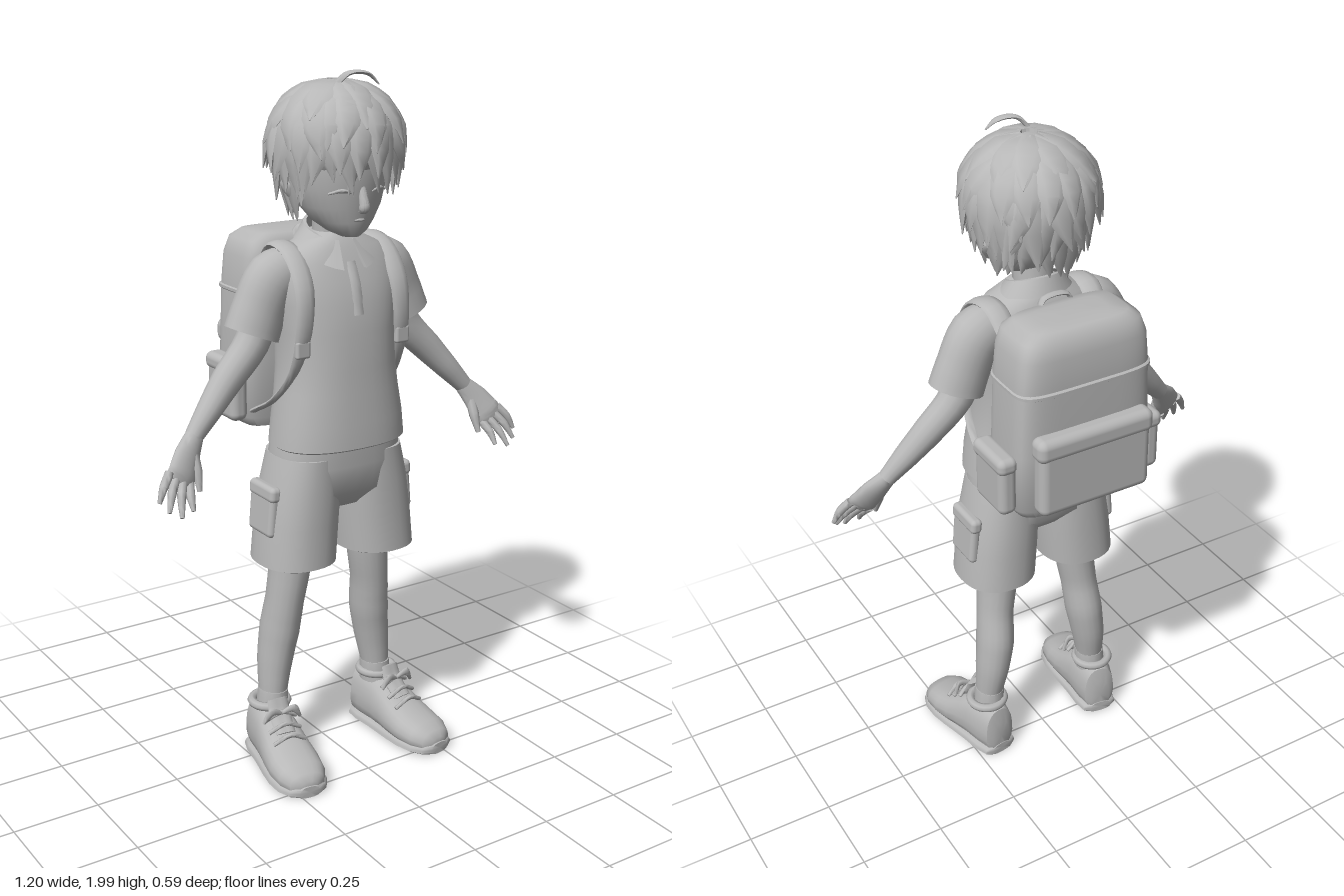
import * as THREE from 'three';
import { toCreasedNormals } from 'three/addons/utils/BufferGeometryUtils.js';
import { RoundedBoxGeometry } from 'three/addons/geometries/RoundedBoxGeometry.js';

const V = (x, y, z) => new THREE.Vector3(x, y, z);
const clay = new THREE.MeshStandardMaterial({ color: 0xb8b8b8, side: THREE.DoubleSide });
clay.name = 'clay grey';

// Skin a list of equal-length point rings, closing both ends
function skin(rings, crease = 0.8) {
  const n = rings[0].length, pts = rings.flat(), idx = [];
  for (let r = 0; r < rings.length - 1; r++)
    for (let i = 0; i < n; i++) {
      const a = r * n + i, b = r * n + (i + 1) % n;
      idx.push(a, b, a + n, b, b + n, a + n);
    }
  [0, rings.length - 1].forEach((r, end) => {
    const c = pts.length, mid = V(0, 0, 0);
    rings[r].forEach(p => mid.addScaledVector(p, 1 / n));
    pts.push(mid);
    for (let i = 0; i < n; i++) {
      const a = r * n + i, b = r * n + (i + 1) % n;
      if (end) idx.push(a, b, c); else idx.push(b, a, c);
    }
  });
  // Turn the faces outward if the enclosed volume is negative
  let vol = 0;
  for (let i = 0; i < idx.length; i += 3)
    vol += pts[idx[i]].dot(V(0, 0, 0).crossVectors(pts[idx[i + 1]], pts[idx[i + 2]]));
  if (vol < 0) idx.reverse();
  const g = new THREE.BufferGeometry().setFromPoints(pts);
  g.setIndex(idx);
  return toCreasedNormals(g, crease);
}

const sup = (v, p) => Math.sign(v) * Math.pow(Math.abs(v), 2 / p);

// Stack of horizontal rounded sections: [y, cx, cz, rx, rz]
function stack(rows, p = 2, n = 32) {
  return skin(rows.map(([y, cx, cz, rx, rz]) => Array.from({ length: n }, (_, i) => {
    const a = i / n * Math.PI * 2;
    return V(cx + rx * sup(Math.cos(a), p), y, cz + rz * sup(Math.sin(a), p));
  })));
}

// Smooth limb along points [x, y, z, width, thickness]; ref is the width direction
function limb(list, ref = V(1, 0, 0), n = 14, steps = 4) {
  const curve = new THREE.CatmullRomCurve3(list.map(q => V(q[0], q[1], q[2])));
  const m = (list.length - 1) * steps, rings = [];
  for (let k = 0; k <= m; k++) {
    const u = k / m, c = curve.getPoint(u), t = curve.getTangent(u);
    const j = Math.min(Math.floor(k / steps), list.length - 2), f = k / steps - j;
    const w = THREE.MathUtils.lerp(list[j][3], list[j + 1][3], f);
    const h = THREE.MathUtils.lerp(list[j][4] ?? list[j][3], list[j + 1][4] ?? list[j + 1][3], f);
    const s = ref.clone().addScaledVector(t, -ref.dot(t)).normalize();
    const b = V(0, 0, 0).crossVectors(t, s);
    rings.push(Array.from({ length: n }, (_, i) => {
      const a = i / n * Math.PI * 2;
      return c.clone().addScaledVector(s, w * Math.cos(a)).addScaledVector(b, h * Math.sin(a));
    }));
  }
  return skin(rings);
}

let seed = 7;
const rnd = () => (seed = (seed * 16807) % 2147483647) / 2147483647;

export function createModel() {
  const root = new THREE.Group();
  const add = (name, g, parent = root) => {
    const m = new THREE.Mesh(g, clay);
    m.name = name;
    parent.add(m);
    return m;
  };
  const box = (name, w, h, d, x, y, z, r, parent) => {
    const m = add(name, new RoundedBoxGeometry(w, h, d, 4, r), parent);
    m.position.set(x, y, z);
    return m;
  };

  // Head, neck and face
  add('neck', limb([[0, 1.48, 0.04, 0.055], [0, 1.66, 0.06, 0.055]]));
  add('head', stack([[1.56, 0, 0.135, 0.025, 0.032], [1.575, 0, 0.12, 0.055, 0.058], [1.6, 0, 0.1, 0.085, 0.083],
    [1.64, 0, 0.085, 0.113, 0.108], [1.69, 0, 0.078, 0.13, 0.122], [1.76, 0, 0.075, 0.142, 0.135],
    [1.84, 0, 0.07, 0.138, 0.13], [1.92, 0, 0.07, 0.08, 0.08]]));
  add('nose', limb([[0, 1.7, 0.19, 0.01], [0, 1.66, 0.203, 0.013], [0, 1.642, 0.205, 0.015], [0, 1.632, 0.19, 0.008]]));
  add('mouth', limb([[-0.028, 1.606, 0.172, 0.003], [0, 1.608, 0.186, 0.005], [0.028, 1.606, 0.172, 0.003]], V(0, 1, 0), 8));
  for (const s of [1, -1]) {
    add('ear', limb([[s * 0.125, 1.73, 0.06, 0.02, 0.01], [s * 0.145, 1.7, 0.055, 0.03, 0.014],
      [s * 0.125, 1.65, 0.065, 0.012, 0.008]], V(0, 0, 1)));
    add('eyelid', limb([[s * 0.03, 1.683, 0.194, 0.003], [s * 0.058, 1.69, 0.188, 0.006],
      [s * 0.09, 1.682, 0.168, 0.003]], V(0, 1, 0), 8));
  }

  // Hair: a cap covered in rows of tapering, flicked-out locks
  const hair = new THREE.Group();
  hair.name = 'hair';
  root.add(hair);
  const cap = add('hairCap', new THREE.SphereGeometry(1, 32, 20), hair);
  cap.scale.set(0.163, 0.145, 0.165);
  cap.position.set(0, 1.815, 0.065);
  const onHead = (az, phi, k) => {
    const over = Math.max(0, phi - Math.PI / 2);
    const h = over ? 1 - 0.2 * over : Math.sin(phi), v = over ? -over : Math.cos(phi);
    return [0.168 * k * h * Math.sin(az), 1.815 + 0.148 * k * v, 0.065 + 0.175 * k * h * Math.cos(az)];
  };
  const lock = (az, p0, p1, width, lift) => {
    const twist = (rnd() - 0.5) * 0.45;
    const list = [0, 0.33, 0.67, 1].map((s, i) => [
      ...onHead(az + twist * s * s, p0 + (p1 - p0) * s, 0.97 + lift * s * s),
      width * [0.6, 1, 0.75, 0.04][i], 0.016 * [0.7, 1, 0.8, 0.1][i]]);
    add('hairLock', limb(list, V(Math.cos(az), 0, -Math.sin(az)), 6, 2), hair);
  };
  // Rows: count, start and end angle from the crown, width, lift
  for (const [n, p0, p1, w, lift] of [[11, 0.12, 1.15, 0.05, 0.1], [16, 0.5, 1.6, 0.045, 0.16], [20, 0.95, 1.95, 0.04, 0.22]])
    for (let i = 0; i < n; i++)
      lock((i + rnd() * 0.6) / n * Math.PI * 2, p0, p1 + rnd() * 0.2, w, lift + rnd() * 0.08);
  for (let i = 0; i < 17; i++)
    lock(Math.PI + (i / 16 - 0.5) * 4, 1.35, 2.35 + rnd() * 0.2, 0.036, 0.16 + rnd() * 0.08);
  for (let i = 0; i < 13; i++)
    lock(Math.PI + (i / 12 - 0.5) * 3.2, 1.7, 2.8 + rnd() * 0.2, 0.033, 0.02 + rnd() * 0.06);
  for (let i = 0; i < 9; i++)
    lock((i / 8 - 0.5) * 2.1, 0.8, 2.12 + rnd() * 0.3, 0.036, 0.14 + rnd() * 0.1);
  add('cowlick', limb([[-0.03, 1.95, 0.1, 0.012, 0.006], [0, 1.985, 0.13, 0.013, 0.006],
    [0.05, 1.982, 0.145, 0.011, 0.005], [0.075, 1.955, 0.16, 0.002]], V(0, 0, 1), 8), hair);

  // Shirt body, placket and collar
  add('shirt', stack([[1.01, 0, 0.07, 0.17, 0.11], [0.975, 0, 0.075, 0.193, 0.13], [0.98, 0, 0.075, 0.2, 0.137],
    [1.05, 0, 0.075, 0.193, 0.134], [1.13, 0, 0.072, 0.18, 0.13], [1.2, 0, 0.068, 0.172, 0.13],
    [1.3, 0, 0.064, 0.173, 0.128], [1.38, 0, 0.058, 0.183, 0.123], [1.44, 0, 0.052, 0.187, 0.112],
    [1.49, 0, 0.047, 0.175, 0.097], [1.525, 0, 0.045, 0.14, 0.084], [1.55, 0, 0.045, 0.085, 0.07],
    [1.565, 0, 0.045, 0.06, 0.058]], 2.4, 40));
  add('placket', limb([[0, 1.49, 0.142, 0.016, 0.004], [0, 1.43, 0.168, 0.016, 0.004], [0, 1.35, 0.185, 0.016, 0.004]], V(1, 0, 0), 8));
  add('collar', skin(Array.from({ length: 29 }, (_, i) => {
    const a = (i / 28 - 0.5) * 5.7, f = (1 - Math.cos(a)) / 2;
    const at = (r, y) => V(r * Math.sin(a), y, 0.045 - r * Math.cos(a));
    const top = 1.6 - 0.055 * f, low = 1.55 - 0.08 * f * f;
    return [at(0.067, top), at(0.085 + 0.032 * f, low), at(0.094 + 0.034 * f, low), at(0.076, top)];
  })));

  // Shorts seat
  add('shortsSeat', stack([[0.79, 0, 0.055, 0.12, 0.08], [0.84, 0, 0.055, 0.195, 0.122],
    [0.92, 0, 0.06, 0.2, 0.125], [1.0, 0, 0.065, 0.185, 0.122]], 2.6));

  // Parts mirrored left and right
  for (const s of [1, -1]) {
    const side = new THREE.Group();
    side.name = s > 0 ? 'leftSide' : 'rightSide';
    root.add(side);
    const put = (name, list, ref, n) =>
      add(name, limb(list.map(([x, ...q]) => [s * x, ...q]), ref, n), side);
    const flat = V(s * 0.8, 0.6, 0);

    // Sleeve, arm and hand
    put('sleeve', [[0.11, 1.475, 0.04, 0.06, 0.06], [0.18, 1.445, 0.037, 0.08, 0.068],
      [0.222, 1.37, 0.035, 0.08, 0.064], [0.25, 1.3, 0.035, 0.082, 0.066]], flat, 20);
    put('arm', [[0.21, 1.37, 0.035, 0.05], [0.25, 1.275, 0.035, 0.05, 0.047], [0.335, 1.185, 0.045, 0.044, 0.042],
      [0.4, 1.115, 0.06, 0.035], [0.455, 1.055, 0.073, 0.026, 0.024]], flat);
    put('palm', [[0.45, 1.06, 0.072, 0.026, 0.023], [0.485, 1.015, 0.093, 0.04, 0.02],
      [0.515, 0.97, 0.115, 0.046, 0.017], [0.527, 0.955, 0.122, 0.038, 0.01]], flat);
    [[0.595, 0.915, 0.14], [0.578, 0.892, 0.162], [0.548, 0.876, 0.175], [0.508, 0.884, 0.165]].forEach(([x, y, z], i) => {
      const b = [0.55 - i * 0.019, 0.985 - i * 0.013, 0.115];
      put('finger', [[...b, 0.013], [(b[0] + x) / 2 + 0.004, (b[1] + y) / 2 + 0.003, (b[2] + z) / 2 + 0.003, 0.012], [x, y, z, 0.006]], flat, 8);
    });
    put('thumb', [[0.468, 1.02, 0.09, 0.016], [0.467, 0.97, 0.112, 0.015], [0.47, 0.92, 0.13, 0.007]], V(1, 0, 0), 8);

    // Shorts leg with a hollow hem and a cargo pocket
    add('shortsLeg', stack([[0.95, s * 0.1, 0.06, 0.095, 0.118], [0.85, s * 0.113, 0.057, 0.108, 0.122],
      [0.75, s * 0.124, 0.055, 0.113, 0.124], [0.635, s * 0.134, 0.055, 0.114, 0.126],
      [0.63, s * 0.134, 0.055, 0.104, 0.116], [0.69, s * 0.13, 0.055, 0.095, 0.105]], 2.3), side);
    box('cargoPocket', 0.03, 0.13, 0.12, s * 0.226, 0.79, 0.05, 0.014, side).rotation.z = s * 0.09;
    box('cargoFlap', 0.036, 0.045, 0.128, s * 0.221, 0.85, 0.05, 0.014, side).rotation.z = s * 0.09;

    // Leg and sock
    put('leg', [[0.128, 0.74, 0.04, 0.066, 0.07], [0.133, 0.62, 0.038, 0.06, 0.066], [0.148, 0.5, 0.03, 0.054, 0.062],
      [0.158, 0.4, 0.015, 0.056, 0.066], [0.172, 0.3, 0.01, 0.05, 0.058], [0.183, 0.2, 0.015, 0.04, 0.045],
      [0.186, 0.12, 0.015, 0.04, 0.045]], V(1, 0, 0), 18);
    put('sock', [[0.182, 0.215, 0.015, 0.043, 0.05], [0.185, 0.15, 0.015, 0.046, 0.053]]);

    // Shoe, lofted from heel to toe and turned slightly outward
    const shoe = new THREE.Group();
    shoe.name = 'shoe';
    shoe.position.x = s * 0.191;
    shoe.rotation.y = s * 0.13;
    side.add(shoe);
    const along = (rows) => skin(rows.map(([z, w, top, low]) => Array.from({ length: 20 }, (_, i) => {
      const a = i / 20 * Math.PI * 2, h = (top - low) / 2;
      const y = sup(Math.sin(a), 2.6);
      return V(w * sup(Math.cos(a), 2.6) * (1 - 0.2 * (y + 1) / 2), low + h + h * y, z);
    })));
    const last = [[-0.06, 0.035, 0.12], [-0.05, 0.055, 0.165], [-0.01, 0.066, 0.178], [0.05, 0.07, 0.17], [0.09, 0.075, 0.15],
      [0.14, 0.082, 0.118], [0.19, 0.086, 0.096], [0.24, 0.08, 0.082], [0.275, 0.06, 0.066], [0.29, 0.03, 0.048]];
    add('shoeUpper', along(last.map(([z, w, t]) => [z, w, t, 0.01])), shoe);
    add('shoeSole', along(last.map(([z, w]) => [z * 1.02 - 0.001, w + 0.005, 0.034, 0])), shoe);
    add('shoeTongue', limb([[0, 0.12, 0.13, 0.03, 0.012], [0, 0.165, 0.085, 0.034, 0.012], [0, 0.205, 0.07, 0.03, 0.008]]), shoe);
    const rim = add('shoeCollar', new THREE.TorusGeometry(0.052, 0.013, 8, 24), shoe);
    rim.rotation.x = Math.PI / 2;
    rim.position.set(0, 0.176, 0.012);
    for (let i = 0; i < 3; i++) {
      const y = 0.172 - i * 0.022, z = 0.09 + i * 0.032;
      add('lace', limb([[-0.05, y - 0.022, z, 0.006], [0, y + 0.002, z + 0.008, 0.007], [0.05, y - 0.022, z, 0.006]], V(0, 1, 0), 8), shoe);
      if (i === 0) for (const k of [1, -1])
        add('laceBow', limb([[0, y, z + 0.01, 0.005], [k * 0.035, y + 0.012, z + 0.018, 0.013, 0.006],
          [k * 0.058, y - 0.02, z + 0.012, 0.005]], V(0, 1, 0), 8), shoe);
    }

    // Shoulder strap and side pocket of the backpack
    put('shoulderStrap', [[0.14, 1.47, -0.07, 0.03, 0.012], [0.145, 1.53, 0.0, 0.032, 0.012], [0.148, 1.515, 0.085, 0.032, 0.012],
      [0.152, 1.43, 0.15, 0.03, 0.012], [0.16, 1.31, 0.158, 0.026, 0.011], [0.172, 1.2, 0.125, 0.016, 0.008],
      [0.188, 1.11, 0.05, 0.014, 0.007], [0.19, 1.05, -0.06, 0.014, 0.007]], V(1, 0, 0), 10);
    box('strapBuckle', 0.045, 0.05, 0.02, s * 0.163, 1.27, 0.155, 0.008, side);
    box('sidePocket', 0.055, 0.17, 0.15, s * 0.228, 1.105, -0.14, 0.022, side);
    box('sidePocketFlap', 0.06, 0.05, 0.16, s * 0.23, 1.175, -0.14, 0.02, side);
  }

  // Backpack body, lid seam, back pocket and handle
  const pack = new THREE.Group();
  pack.name = 'backpack';
  root.add(pack);
  add('packBody', stack([[0.99, 0, -0.145, 0.15, 0.07], [0.998, 0, -0.145, 0.19, 0.09], [1.025, 0, -0.146, 0.208, 0.1],
    [1.2, 0, -0.148, 0.212, 0.106], [1.4, 0, -0.148, 0.203, 0.106], [1.48, 0, -0.148, 0.195, 0.104],
    [1.525, 0, -0.146, 0.18, 0.094], [1.545, 0, -0.144, 0.15, 0.075], [1.55, 0, -0.142, 0.1, 0.045]], 5, 48), pack);
  add('packSeam', stack([[1.375, 0, -0.149, 0.202, 0.104], [1.38, 0, -0.149, 0.208, 0.111],
    [1.388, 0, -0.149, 0.208, 0.111], [1.393, 0, -0.149, 0.2, 0.104]], 5, 48), pack);
  box('backPocket', 0.345, 0.22, 0.06, 0, 1.14, -0.262, 0.024, pack);
  box('backPocketFlap', 0.36, 0.07, 0.064, 0, 1.237, -0.264, 0.024, pack);
  add('packHandle', limb([[-0.05, 1.535, -0.07, 0.012, 0.006], [-0.035, 1.558, -0.065, 0.012, 0.006],
    [0.035, 1.558, -0.065, 0.012, 0.006], [0.05, 1.535, -0.07, 0.012, 0.006]], V(0, 0, 1), 8), pack);

  return root;
}
